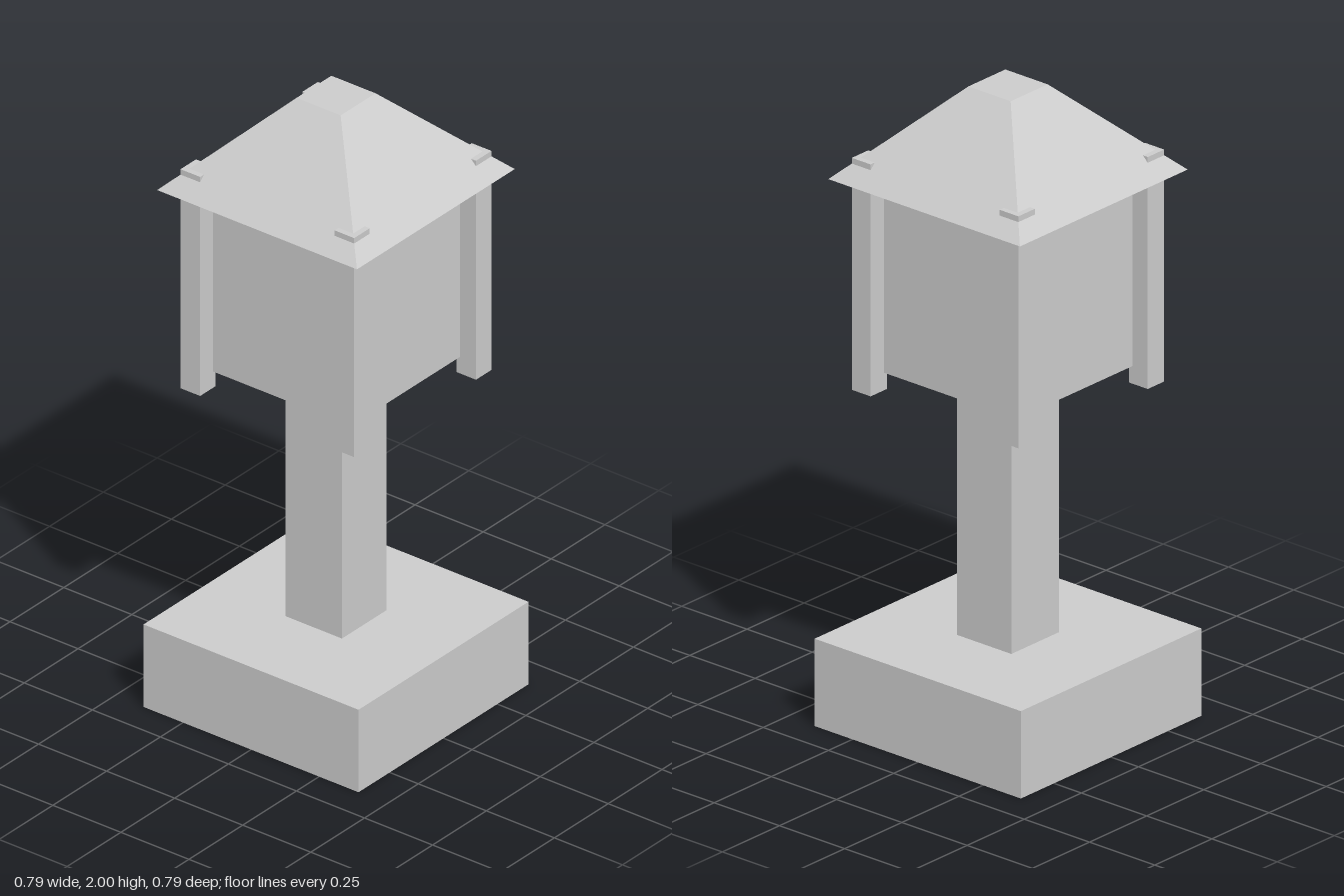
import * as THREE from 'three';

const stone = new THREE.MeshStandardMaterial({ color: 0xcccccc });
stone.name = 'lightGreyStone';

// Square block spanning bottom..top, centred on (x, z)
function block(name, width, bottom, top, x = 0, z = 0) {
  const mesh = new THREE.Mesh(new THREE.BoxGeometry(width, top - bottom, width), stone);
  mesh.name = name;
  mesh.position.set(x, (bottom + top) / 2, z);
  return mesh;
}

// Box whose upper corners are drawn in to form a flat-topped pyramid
function hippedRoof(eaveHalf, topHalf, bottom, top) {
  const mesh = block('roof', 2 * eaveHalf, bottom, top);
  const p = mesh.geometry.attributes.position;
  for (let i = 0; i < p.count; i++) {
    if (p.getY(i) > 0) {
      p.setX(i, Math.sign(p.getX(i)) * topHalf);
      p.setZ(i, Math.sign(p.getZ(i)) * topHalf);
    }
  }
  mesh.geometry = mesh.geometry.toNonIndexed();
  mesh.geometry.computeVertexNormals();
  return mesh;
}

export function createModel() {
  const lantern = new THREE.Group();
  lantern.name = 'stoneLantern';

  lantern.add(block('base', 0.79, 0, 0.275));
  lantern.add(block('column', 0.208, 0.275, 1.11));
  lantern.add(block('lanternBody', 0.52, 1.11, 1.72));
  lantern.add(hippedRoof(0.367, 0.081, 1.72, 2));

  // Corner posts hang below the body and poke through the roof
  const posts = new THREE.Group();
  posts.name = 'cornerPosts';
  for (const x of [-1, 1]) {
    for (const z of [-1, 1]) {
      posts.add(block('cornerPost', 0.072, 1.055, 1.785, x * 0.283, z * 0.283));
    }
  }
  lantern.add(posts);
  return lantern;
}
